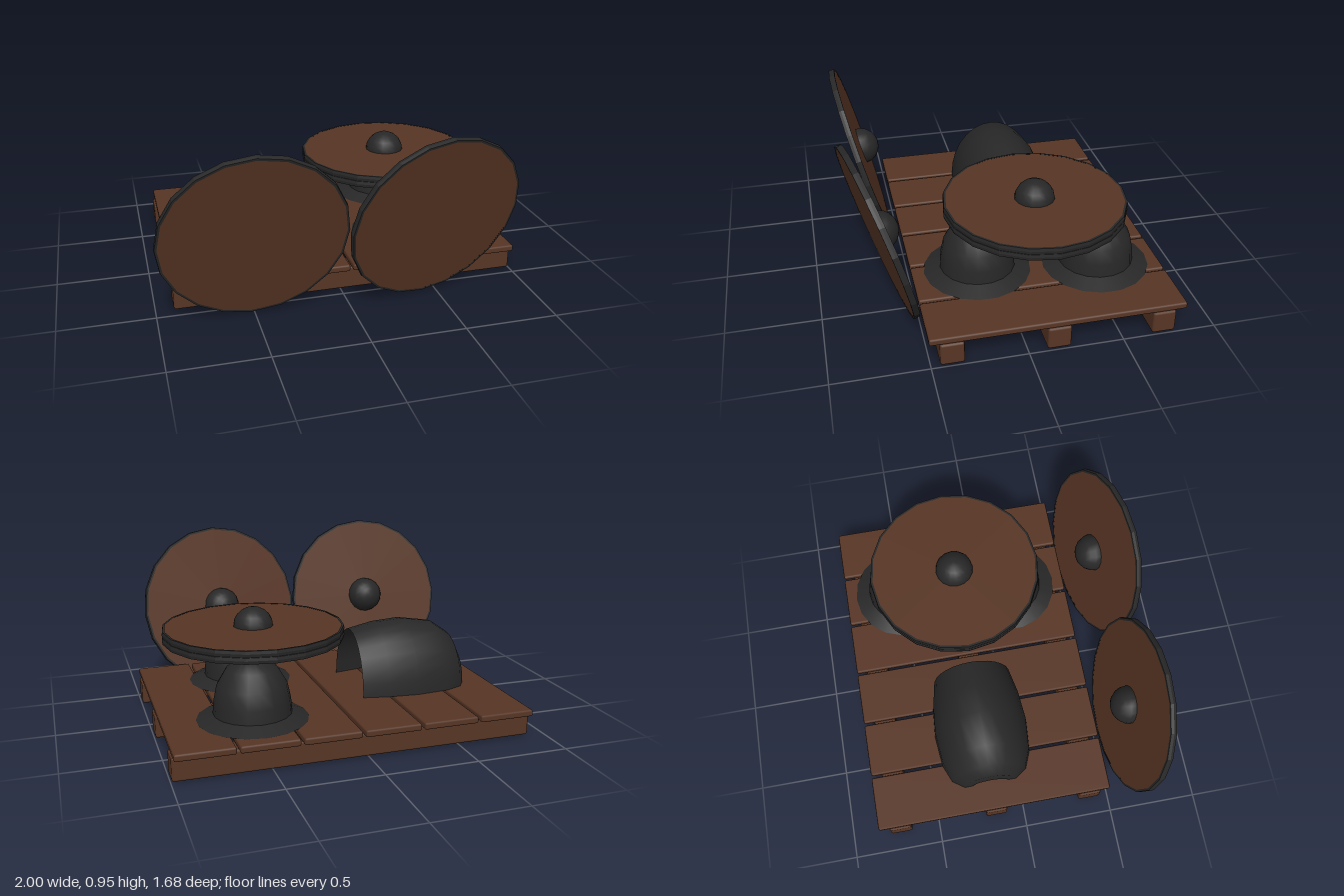
import * as THREE from 'three';
import { RoundedBoxGeometry } from 'three/addons/geometries/RoundedBoxGeometry.js';

const wood = new THREE.MeshStandardMaterial({ color: 0x573524 });
wood.name = 'brown wood';
const iron = new THREE.MeshStandardMaterial({ color: 0x272727, side: THREE.DoubleSide });
iron.name = 'dark iron';

function add(parent, name, geometry, material, x = 0, y = 0, z = 0) {
  const mesh = new THREE.Mesh(geometry, material);
  mesh.name = name;
  mesh.position.set(x, y, z);
  parent.add(mesh);
  return mesh;
}

const lathe = (points, sides) =>
  new THREE.LatheGeometry(points.map(([r, y]) => new THREE.Vector2(r, y)), sides);

// Pallet: three skids along x under six cross planks
function makePallet() {
  const pallet = new THREE.Group();
  pallet.name = 'pallet';
  const skid = new RoundedBoxGeometry(1.9, 0.125, 0.125, 1, 0.012);
  for (const z of [0.39, -0.16, -0.72]) add(pallet, 'skid', skid, wood, 0.045, 0.073, z);
  const plank = new RoundedBoxGeometry(0.3, 0.037, 1.345, 1, 0.01);
  for (let i = 0; i < 6; i++) add(pallet, 'plank', plank, wood, -0.745 + i * 0.317, 0.155, -0.168);
  return pallet;
}

// Round shield lying flat, centred on its thickness, boss on +y
function makeShield(withBoss = true) {
  const shield = new THREE.Group();
  shield.name = 'shield';
  const R = 0.49, t = 0.0165;
  add(shield, 'shieldBoard', new THREE.CylinderGeometry(R - 0.012, R - 0.012, 0.028, 20), wood);
  const rim = lathe([[R - 0.015, -t], [R - 0.003, -t], [R, 0], [R - 0.003, t], [R - 0.015, t]], 20).toNonIndexed();
  rim.computeVertexNormals();
  add(shield, 'shieldRim', rim, iron);
  if (withBoss) {
    const boss = new THREE.SphereGeometry(0.108, 16, 5, 0, Math.PI * 2, 0, Math.PI / 2);
    add(shield, 'shieldBoss', boss, iron, 0, 0.012, 0).scale.y = 0.96;
  }
  return shield;
}

// Helmet: domed skull over a sloping brim
function makeHelmet(x, z) {
  const helmet = new THREE.Group();
  helmet.name = 'helmet';
  helmet.position.set(x, 0, z);
  add(helmet, 'helmetBrim', lathe([[0.29, 0.176], [0.203, 0.21]], 18), iron);
  add(helmet, 'helmetSkull', lathe(
    [[0.204, 0.205], [0.197, 0.28], [0.18, 0.36], [0.13, 0.445], [0.065, 0.487], [0, 0.5]], 18), iron);
  return helmet;
}

// Breastplate: arched shell lofted along x, narrowing to a neck opening
function makeBreastplate() {
  const rings = [ // x, half width, top height
    [-0.11, 0.228, 0.5], [-0.26, 0.258, 0.53], [-0.42, 0.272, 0.54], [-0.6, 0.256, 0.51],
    [-0.7, 0.215, 0.44], [-0.745, 0.15, 0.35], [-0.745, 0.1, 0.25],
  ];
  const n = 14, base = 0.174, positions = [], index = [];
  rings.forEach(([x, w, top], i) => {
    for (let j = 0; j <= n; j++) {
      const a = (j / n) * Math.PI;
      positions.push(x, base + Math.sin(a) * (top - base), -0.168 + Math.cos(a) * w);
      if (i && j) {
        const d = i * (n + 1) + j, c = d - 1, b = d - n - 1, e = b - 1;
        index.push(e, b, c, b, d, c);
      }
    }
  });
  // wind so that the outer skin faces outward
  for (let k = 0; k < index.length; k += 3) [index[k + 1], index[k + 2]] = [index[k + 2], index[k + 1]];
  const shell = new THREE.BufferGeometry();
  shell.setAttribute('position', new THREE.Float32BufferAttribute(positions, 3));
  shell.setIndex(index);
  shell.computeVertexNormals();
  return shell;
}

export function createModel() {
  const model = new THREE.Group();
  model.name = 'armourPallet';
  model.add(makePallet(), makeHelmet(0.53, -0.49), makeHelmet(0.45, 0.15));
  add(model, 'breastplate', makeBreastplate(), iron);

  // Two stacked shields resting on the helmets
  const lower = makeShield(false), upper = makeShield();
  lower.position.set(0.44, 0.523, -0.165);
  upper.position.set(0.44, 0.558, -0.165);
  model.add(lower, upper);

  // Two shields propped at the front, bosses facing the pallet
  for (const [x, z, yaw] of [[-0.51, 0.67, 0], [0.445, 0.675, 0.175]]) {
    const shield = makeShield();
    shield.name = 'leaningShield';
    shield.position.set(x, 0.48, z);
    shield.rotation.set(-THREE.MathUtils.degToRad(75), yaw, 0, 'YXZ');
    model.add(shield);
  }
  return model;
}
